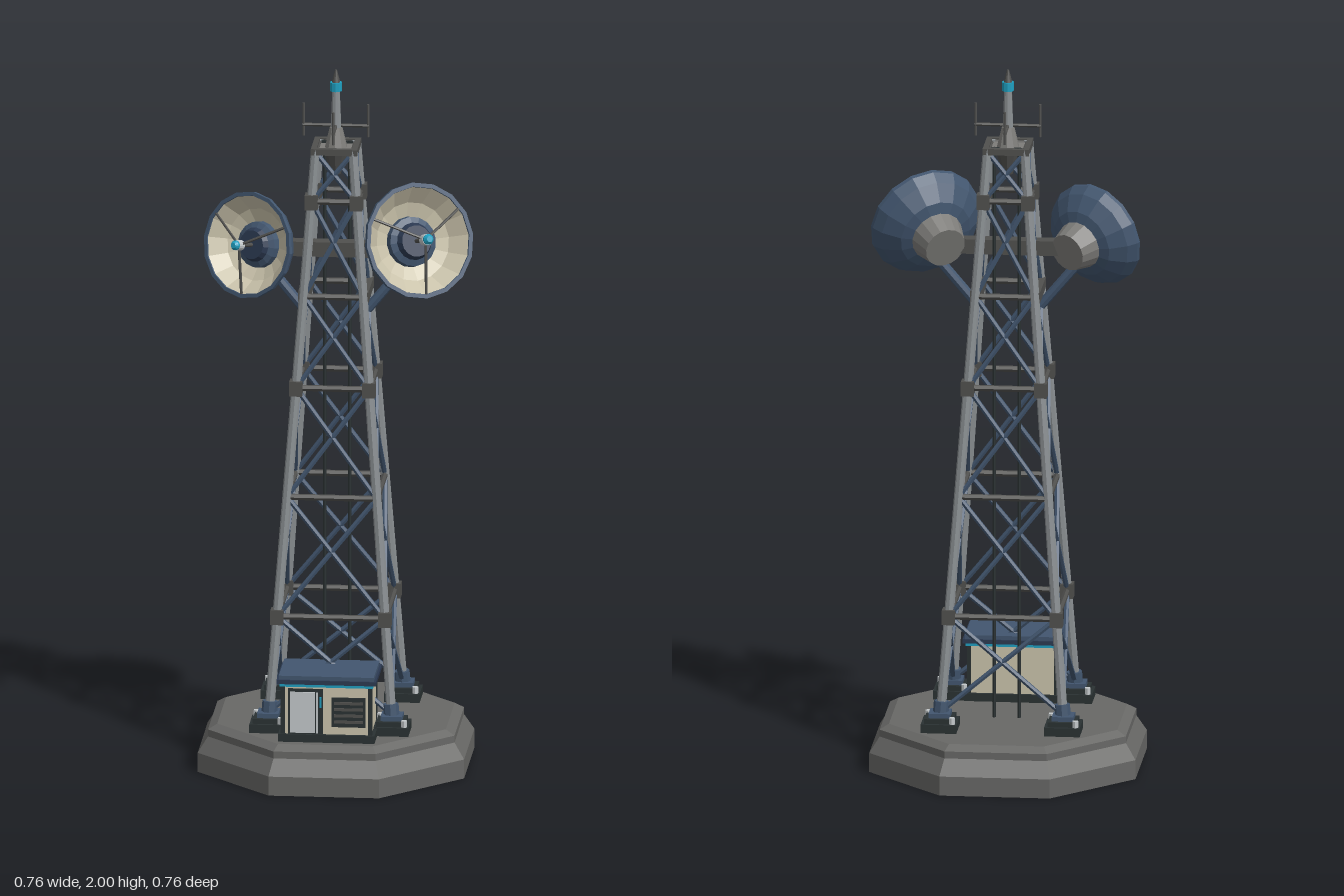
import * as THREE from 'three';

export function createModel() {
  const root = new THREE.Group();
  root.name = 'relayTower';
  const tower = new THREE.Group();
  tower.name = 'tower';
  tower.position.x = -0.008;
  root.add(tower);

  const mat = (name, color) => {
    const m = new THREE.MeshStandardMaterial({ color, flatShading: true, side: THREE.DoubleSide });
    m.name = name;
    return m;
  };
  const concrete = mat('concrete', 0x686866);
  const darkMetal = mat('dark metal', 0x50504e);
  const steel = mat('light steel', 0x8b9093);
  const blue = mat('steel blue', 0x42566f);
  const navy = mat('navy', 0x2c3a52);
  const cream = mat('cream', 0xcbc4ac);
  const cyan = mat('cyan', 0x1f9fc0);
  const black = mat('near black', 0x2a3132);
  const white = mat('pale grey', 0xc4c9cb);
  const grey = mat('warm grey', 0x7d7c79);

  const add = (name, geo, m, parent = tower) => {
    const mesh = new THREE.Mesh(geo, m);
    mesh.name = name;
    parent.add(mesh);
    return mesh;
  };
  const box = (name, m, w, h, d, x, y, z, parent) => {
    const mesh = add(name, new THREE.BoxGeometry(w, h, d), m, parent);
    mesh.position.set(x, y, z);
    return mesh;
  };
  // Upright cylinder from y0 to y1
  const post = (name, m, r0, r1, y0, y1, x = 0, z = 0, sides = 10, parent = tower) => {
    const mesh = add(name, new THREE.CylinderGeometry(r1, r0, y1 - y0, sides), m, parent);
    mesh.position.set(x, (y0 + y1) / 2, z);
    return mesh;
  };
  // Round bar between two points
  const up = new THREE.Vector3(0, 1, 0);
  const bar = (name, m, a, b, r, sides = 6, parent = tower) => {
    const p = new THREE.Vector3(...a), q = new THREE.Vector3(...b);
    const mesh = add(name, new THREE.CylinderGeometry(r, r, p.distanceTo(q), sides), m, parent);
    mesh.position.copy(p).add(q).multiplyScalar(0.5);
    mesh.quaternion.setFromUnitVectors(up, q.sub(p).normalize());
    return mesh;
  };

  // Octagonal stepped foundation (apothem, height)
  const k = 1 / Math.cos(Math.PI / 8);
  const profile = [[0, 0], [0.373, 0], [0.373, 0.055], [0.345, 0.1], [0.345, 0.12], [0.32, 0.135], [0, 0.135]];
  const slab = new THREE.LatheGeometry(profile.map(([r, y]) => new THREE.Vector2(r * k, y)), 8, Math.PI / 8);
  slab.scale(1, 1, 1.018);
  add('foundation', slab, concrete);

  // Half width of the tapering tower at a height
  const half = y => 0.172 - 0.12 * (y - 0.17) / 1.61;
  const corners = [[-1, -1], [1, -1], [1, 1], [-1, 1]];
  const at = ([sx, sz], y) => [sx * half(y), y, sz * half(y)];

  // Feet, legs and collars
  for (const c of corners) {
    const [fx, , fz] = at(c, 0.16);
    box('footPlate', black, 0.1, 0.025, 0.1, fx, 0.147, fz);
    box('footStep', black, 0.082, 0.014, 0.082, fx, 0.166, fz);
    box('footBlock', blue, 0.06, 0.014, 0.06, fx, 0.179, fz);
    for (const s of [-1, 1]) post('bolt', white, 0.009, 0.009, 0.155, 0.178, fx + s * 0.037, fz + s * 0.037, 6);
    bar('legSleeve', blue, at(c, 0.17), at(c, 0.215), 0.022, 8);
    bar('leg', steel, at(c, 0.17), at(c, 1.785), 0.0135, 8);
    for (const y of [0.455, 1.105, 1.635]) {
      const [x, , z] = at(c, y);
      box('legCollar', darkMetal, 0.036, 0.042, 0.036, x, y, z);
    }
  }

  // Horizontal girts and crossed braces on each face
  const levels = [0.185, 0.455, 0.795, 1.105, 1.365, 1.635, 1.775];
  for (let f = 0; f < 4; f++) {
    const a = corners[f], b = corners[(f + 1) % 4];
    levels.forEach((y, i) => {
      if (i > 0) bar('girt', darkMetal, at(a, y), at(b, y), 0.009);
      if (i === levels.length - 1) return;
      const y1 = levels[i + 1];
      bar('brace', blue, at(a, y), at(b, y1), 0.0075);
      bar('brace', blue, at(b, y), at(a, y1), 0.0075);
    });
  }

  // Cable risers inside the tower
  for (const s of [-1, 1]) post('cableRiser', black, 0.005, 0.005, 0.135, 1.785, s * 0.035, -0.037, 6);

  // Top platform and mast
  box('platform', grey, 0.1, 0.012, 0.1, 0, 1.772, 0);
  for (const s of [-1, 1]) {
    box('platformRim', darkMetal, 0.13, 0.018, 0.016, 0, 1.778, s * 0.057);
    box('platformRim', darkMetal, 0.016, 0.018, 0.13, s * 0.057, 1.778, 0);
    box('cableCap', black, 0.024, 0.006, 0.012, s * 0.032, 1.781, -0.038);
  }
  post('mastSocket', darkMetal, 0.014, 0.036, 1.7, 1.768);
  post('mastCone', grey, 0.032, 0.018, 1.778, 1.835);
  post('mast', steel, 0.015, 0.011, 1.835, 1.94);
  post('beaconRing', cyan, 0.017, 0.017, 1.94, 1.965);
  post('mastTip', darkMetal, 0.012, 0.003, 1.965, 2.0);

  // Crossed whip antennas
  bar('antennaArm', darkMetal, [-0.093, 1.84, 0], [0.093, 1.84, 0], 0.005);
  bar('antennaArm', darkMetal, [0, 1.84, -0.093], [0, 1.84, 0.093], 0.005);
  for (const [x, z] of [[-1, 0], [1, 0], [0, -1], [0, 1]]) {
    post('antennaWhip', darkMetal, 0.004, 0.004, 1.808, 1.902, x * 0.09, z * 0.09, 6);
  }

  // Dish: built facing +z, then turned and tipped upwards
  const makeDish = (name, R, x, y, z, yaw, pitch) => {
    const g = new THREE.Group();
    g.name = name;
    g.position.set(x, y, z);
    g.rotation.set(-pitch, yaw, 0, 'YXZ');
    tower.add(g);
    const s = R / 0.155;
    const turned = (part, m, pts) => {
      const geo = new THREE.LatheGeometry(pts.map(([r, d]) => new THREE.Vector2(r * s, d * s)), 16);
      add(part, geo.rotateX(Math.PI / 2), m, g);
    };
    turned('dishShell', blue, [[0.05, -0.09], [0.1, -0.072], [0.14, -0.036], [0.155, -0.008], [0.155, 0.004], [0.144, 0.004], [0.142, -0.006]]);
    turned('dishBowl', cream, [[0, -0.07], [0.06, -0.066], [0.105, -0.044], [0.144, 0.001]]);
    turned('dishHub', blue, [[0.068, -0.066], [0.066, -0.042], [0.05, -0.034]]);
    turned('dishHubCap', navy, [[0.05, -0.034], [0.042, -0.018], [0, -0.018]]);
    turned('dishDrum', grey, [[0, -0.14], [0.056, -0.14], [0.072, -0.08], [0.072, -0.066]]);
    turned('feedStem', darkMetal, [[0.006, -0.02], [0.006, 0.04]]);
    turned('feedHorn', white, [[0, 0.03], [0.015, 0.032], [0.015, 0.056], [0, 0.056]]);
    turned('feedTip', cyan, [[0.014, 0.054], [0.014, 0.062], [0.008, 0.07], [0, 0.07]]);
    for (const deg of [30, 150, 270]) {
      const t = deg * Math.PI / 180, r = 0.145 * s;
      bar('feedStrut', darkMetal, [r * Math.cos(t), r * Math.sin(t), 0], [0, 0, 0.042 * s], 0.004, 6, g);
    }
  };
  makeDish('rightDish', 0.15, -0.24, 1.51, 0.083, -0.56, 0.2);
  makeDish('leftDish', 0.163, 0.241, 1.535, 0.083, 0.52, 0.31);

  // Dish crossbeam and props
  box('dishBeam', darkMetal, 0.37, 0.042, 0.04, 0, 1.487, 0.012);
  for (const s of [-1, 1]) {
    bar('dishProp', blue, [s * 0.09, 1.315, 0.02], [s * 0.19, 1.435, 0.015], 0.014, 8);
    box('propBracket', darkMetal, 0.03, 0.03, 0.17, s * 0.083, 1.365, 0);
  }

  // Equipment shed
  const shed = new THREE.Group();
  shed.name = 'shed';
  shed.position.z = 0.21;
  tower.add(shed);
  box('shedPlinth', black, 0.27, 0.022, 0.185, 0, 0.146, 0, shed);
  box('shedBody', cream, 0.25, 0.15, 0.165, 0, 0.228, 0, shed);
  for (const sx of [-1, 1]) for (const sz of [-1, 1]) {
    box('shedPost', black, 0.012, 0.145, 0.012, sx * 0.122, 0.228, sz * 0.08, shed);
  }
  box('shedTrim', cyan, 0.262, 0.01, 0.18, 0, 0.299, 0, shed);
  box('shedEave', navy, 0.278, 0.012, 0.186, 0, 0.308, 0, shed);
  box('shedRoof', blue, 0.266, 0.012, 0.176, 0, 0.319, 0, shed);
  box('doorFrame', black, 0.098, 0.132, 0.006, -0.058, 0.222, 0.083, shed);
  box('door', white, 0.078, 0.118, 0.006, -0.062, 0.22, 0.086, shed);
  box('doorSeam', black, 0.004, 0.118, 0.004, -0.03, 0.22, 0.089, shed);
  box('doorLight', cyan, 0.006, 0.03, 0.004, -0.016, 0.25, 0.088, shed);
  box('ventFrame', black, 0.094, 0.085, 0.006, 0.062, 0.222, 0.084, shed);
  for (let i = 0; i < 4; i++) {
    box('ventSlat', darkMetal, 0.08, 0.008, 0.006, 0.062, 0.195 + i * 0.018, 0.087, shed);
  }

  return root;
}
